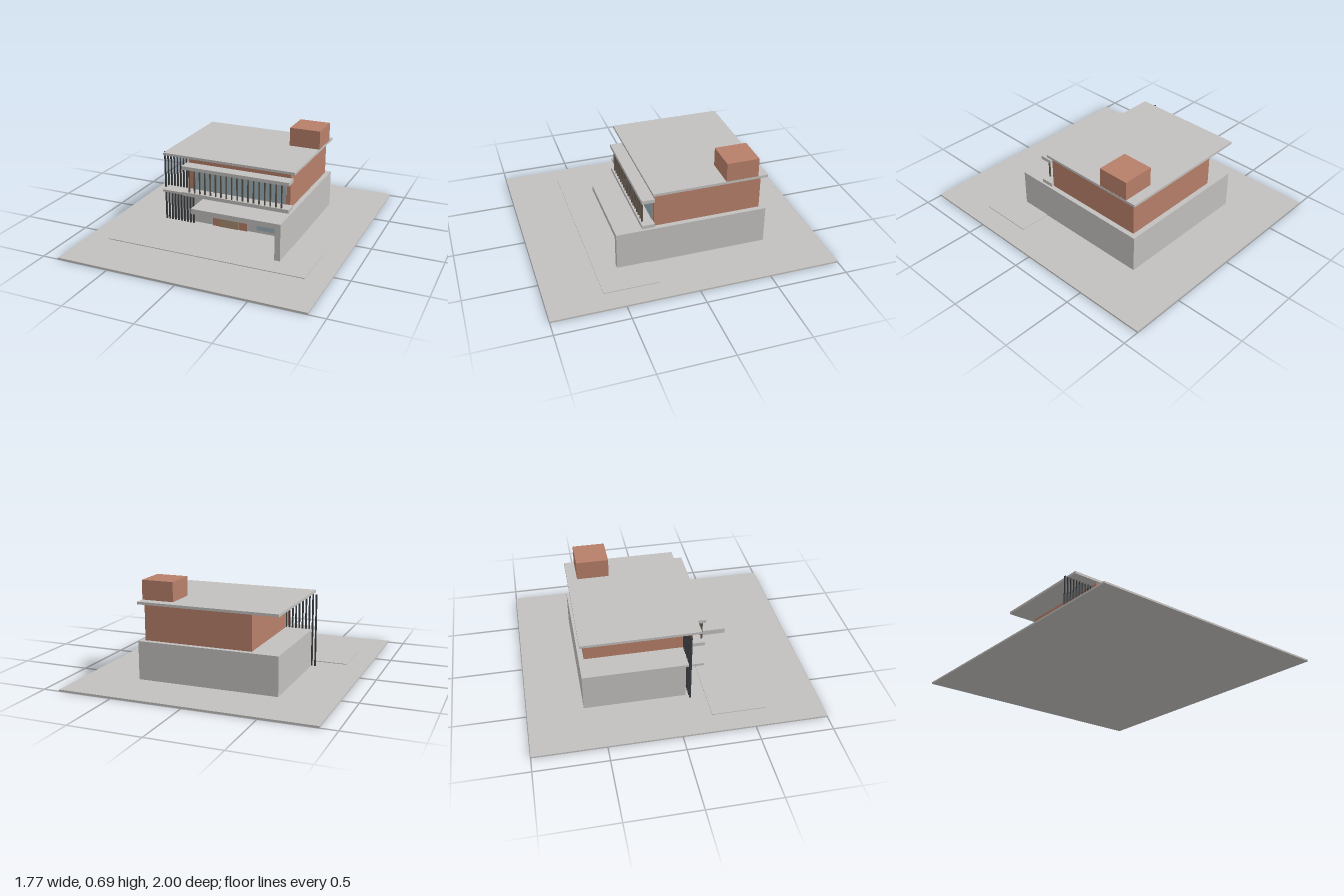
import * as THREE from 'three';

const material = (name, color) => {
  const m = new THREE.MeshStandardMaterial({ color });
  m.name = name;
  return m;
};

export function createModel() {
  const house = new THREE.Group();
  house.name = 'house';

  const concrete = material('concrete', 0xc2c0be);
  const brick = material('brick', 0xb77f69);
  const glass = material('glass', 0x9ab0b8);
  const wood = material('doorWood', 0xa68c6f);
  const darkMetal = material('darkMetal', 0x3c3f42);
  const slatBrown = material('slatBrown', 0x5f564c);

  // Box given by its extents along each axis
  const box = (name, mat, [x0, x1], [y0, y1], [z0, z1], parent = house) => {
    const mesh = new THREE.Mesh(new THREE.BoxGeometry(x1 - x0, y1 - y0, z1 - z0), mat);
    mesh.position.set((x0 + x1) / 2, (y0 + y1) / 2, (z0 + z1) / 2);
    mesh.name = name;
    parent.add(mesh);
    return mesh;
  };

  // Row of vertical slats
  const slatRow = (name, mat, count, xFrom, xTo, y, z, width) => {
    const row = new THREE.Group();
    row.name = name;
    for (let i = 0; i < count; i++) {
      const x = xFrom + ((xTo - xFrom) * i) / (count - 1);
      box('slat', mat, [x - width / 2, x + width / 2], y, z, row);
    }
    house.add(row);
  };

  // Site
  box('groundPlate', concrete, [-0.885, 0.885], [0, 0.012], [-1, 1]);
  box('frontPath', concrete, [-0.73, 0.73], [0.012, 0.017], [0.235, 0.615]);

  // Ground floor with side wall, canopy and left ledge
  box('groundFloor', concrete, [-0.5, 0.5], [0.012, 0.282], [-0.612, 0.1]);
  box('sideWall', concrete, [0.46, 0.5], [0.012, 0.245], [0.1, 0.46]);
  box('canopy', concrete, [-0.155, 0.5], [0.245, 0.282], [0.1, 0.46]);
  box('leftLedge', concrete, [-0.5, -0.155], [0.265, 0.282], [0.1, 0.225]);

  // Entrance
  box('entrancePanel', brick, [-0.155, 0.115], [0.012, 0.245], [0.1, 0.11]);
  box('door', wood, [-0.1, 0.05], [0.012, 0.205], [0.11, 0.114]);
  box('groundWindow', glass, [0.185, 0.42], [0.035, 0.244], [0.1, 0.106]);

  // Upper floor
  box('upperFloor', brick, [-0.305, 0.465], [0.282, 0.536], [-0.575, 0.188]);
  box('upperWindow', glass, [-0.265, 0.435], [0.31, 0.48], [0.188, 0.192]);

  // Balcony slab, top beam and sun screen
  box('balconySlab', concrete, [-0.315, 0.485], [0.284, 0.31], [0.186, 0.276]);
  box('balconyBeam', concrete, [-0.315, 0.485], [0.48, 0.505], [0.186, 0.276]);
  slatRow('sunScreen', slatBrown, 18, -0.265, 0.43, [0.31, 0.48], [0.255, 0.265], 0.009);

  // Tall screen under the overhanging roof
  slatRow('tallScreen', darkMetal, 10, -0.527, -0.304, [0.012, 0.537], [0.119, 0.131], 0.01);

  // Roof and rooftop block
  box('roof', concrete, [-0.5, 0.5], [0.536, 0.554], [-0.612, 0.202]);
  box('rooftopBlock', brick, [0.27, 0.499], [0.554, 0.69], [-0.54, -0.31]);

  return house;
}
